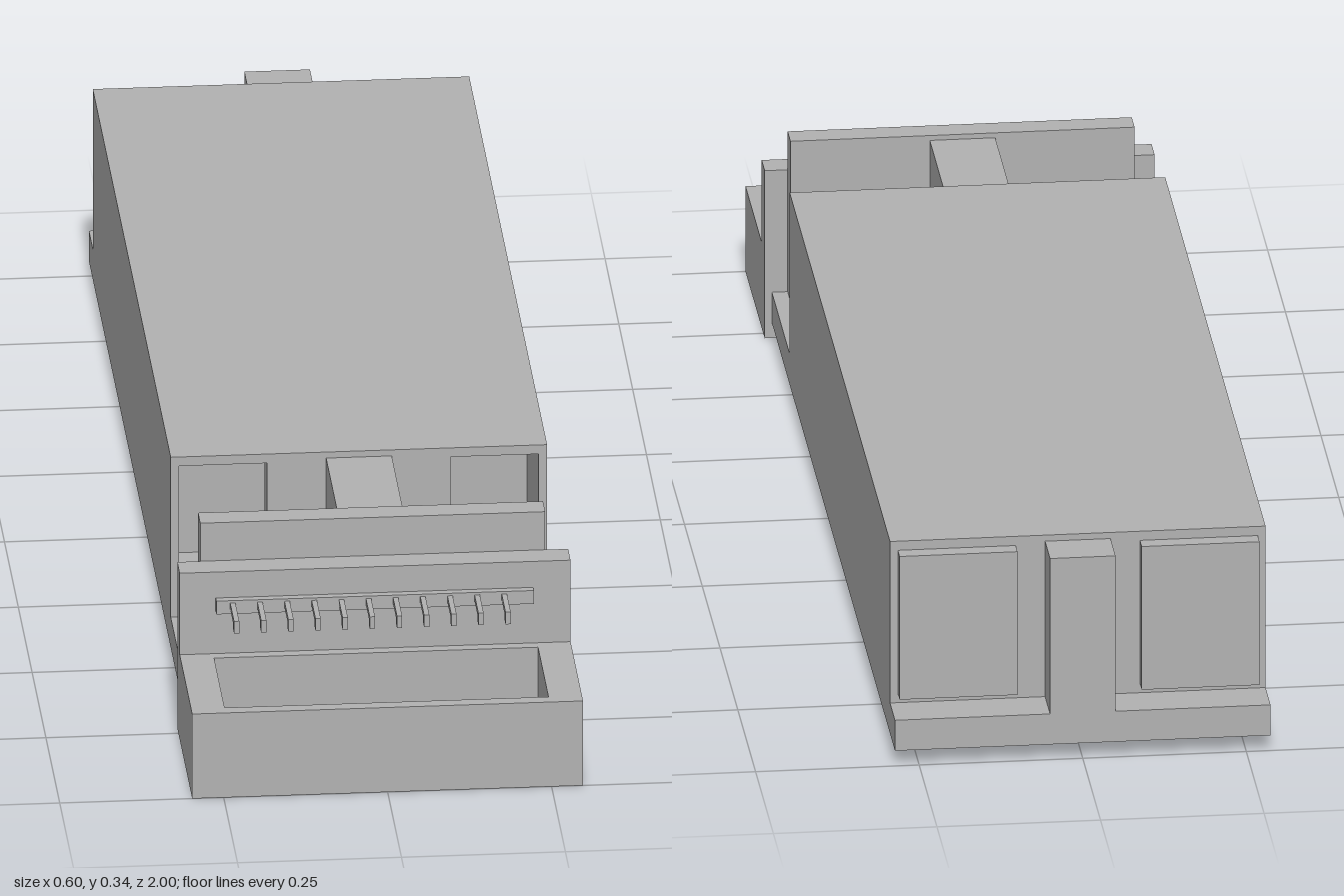
import * as THREE from 'three';

const grey = new THREE.MeshStandardMaterial({ color: 0xb2b2b2 });
grey.name = 'plain grey';

// Box given by its limits on each axis
function block(parent, name, x0, x1, y0, y1, z0, z1) {
  const mesh = new THREE.Mesh(new THREE.BoxGeometry(x1 - x0, y1 - y0, z1 - z0), grey);
  mesh.position.set((x0 + x1) / 2, (y0 + y1) / 2, (z0 + z1) / 2);
  mesh.name = name;
  parent.add(mesh);
  return mesh;
}

function rectangle(Type, x0, x1, y0, y1) {
  return new Type([[x0, y0], [x1, y0], [x1, y1], [x0, y1]].map(([x, y]) => new THREE.Vector2(x, y)));
}

// Upright slab from z0 to z1 with two mirrored rectangular openings
function piercedSlab(parent, name, inner, z0, z1) {
  const shape = rectangle(THREE.Shape, -0.287, 0.287, 0.075, 0.34);
  shape.holes.push(rectangle(THREE.Path, inner, 0.274, 0.09, 0.325));
  shape.holes.push(rectangle(THREE.Path, -0.274, -inner, 0.09, 0.325));
  const mesh = new THREE.Mesh(
    new THREE.ExtrudeGeometry(shape, { depth: z1 - z0, bevelEnabled: false }), grey);
  mesh.position.z = z0;
  mesh.name = name;
  parent.add(mesh);
}

export function createModel() {
  const model = new THREE.Group();
  model.name = 'connectorModule';

  // Base plate and long housing, hollow at its front end
  block(model, 'basePlate', -0.287, 0.287, 0.025, 0.075, -1, 0.73);
  block(model, 'housing', -0.287, 0.287, 0.075, 0.34, -0.93, 0.27);
  piercedSlab(model, 'cavityWalls', 0.095, 0.27, 0.43);
  piercedSlab(model, 'frontWall', 0.14, 0.43, 0.48);

  // Central ribs at both ends
  block(model, 'frontRib', -0.05, 0.05, 0.075, 0.33, 0.48, 0.69);
  block(model, 'rearRib', -0.05, 0.05, 0.075, 0.33, -1, -0.93);

  // Raised panels on the rear face
  for (const s of [-1, 1]) {
    const x = s * 0.185;
    block(model, s > 0 ? 'leftRearPanel' : 'rightRearPanel', x - 0.09, x + 0.09, 0.09, 0.325, -0.955, -0.93);
  }

  // Upright plates at the front
  block(model, 'innerPlate', -0.263, 0.263, 0.075, 0.338, 0.69, 0.73);
  block(model, 'headerWall', -0.298, 0.298, 0, 0.275, 0.73, 0.773);

  // Open tray
  const tray = new THREE.Group();
  tray.name = 'tray';
  const rim = rectangle(THREE.Shape, -0.298, 0.298, -1, -0.773);
  rim.holes.push(rectangle(THREE.Path, -0.247, 0.247, -0.98, -0.79));
  const rimMesh = new THREE.Mesh(
    new THREE.ExtrudeGeometry(rim, { depth: 0.12, bevelEnabled: false }), grey);
  rimMesh.rotation.x = -Math.PI / 2;
  rimMesh.position.y = 0.02;
  rimMesh.name = 'trayRim';
  tray.add(rimMesh);
  block(tray, 'trayFloor', -0.298, 0.298, 0, 0.02, 0.773, 1);
  model.add(tray);

  // Pin header with a row of bent pins
  const header = new THREE.Group();
  header.name = 'pinHeader';
  block(header, 'headerBar', -0.243, 0.241, 0.21, 0.232, 0.773, 0.785);
  for (let i = 0; i < 11; i++) {
    const x = -0.218 + i * 0.0414;
    block(header, 'pinArm', x - 0.004, x + 0.004, 0.218, 0.228, 0.785, 0.855);
    block(header, 'pinTip', x - 0.004, x + 0.004, 0.208, 0.218, 0.837, 0.855);
  }
  model.add(header);

  return model;
}
